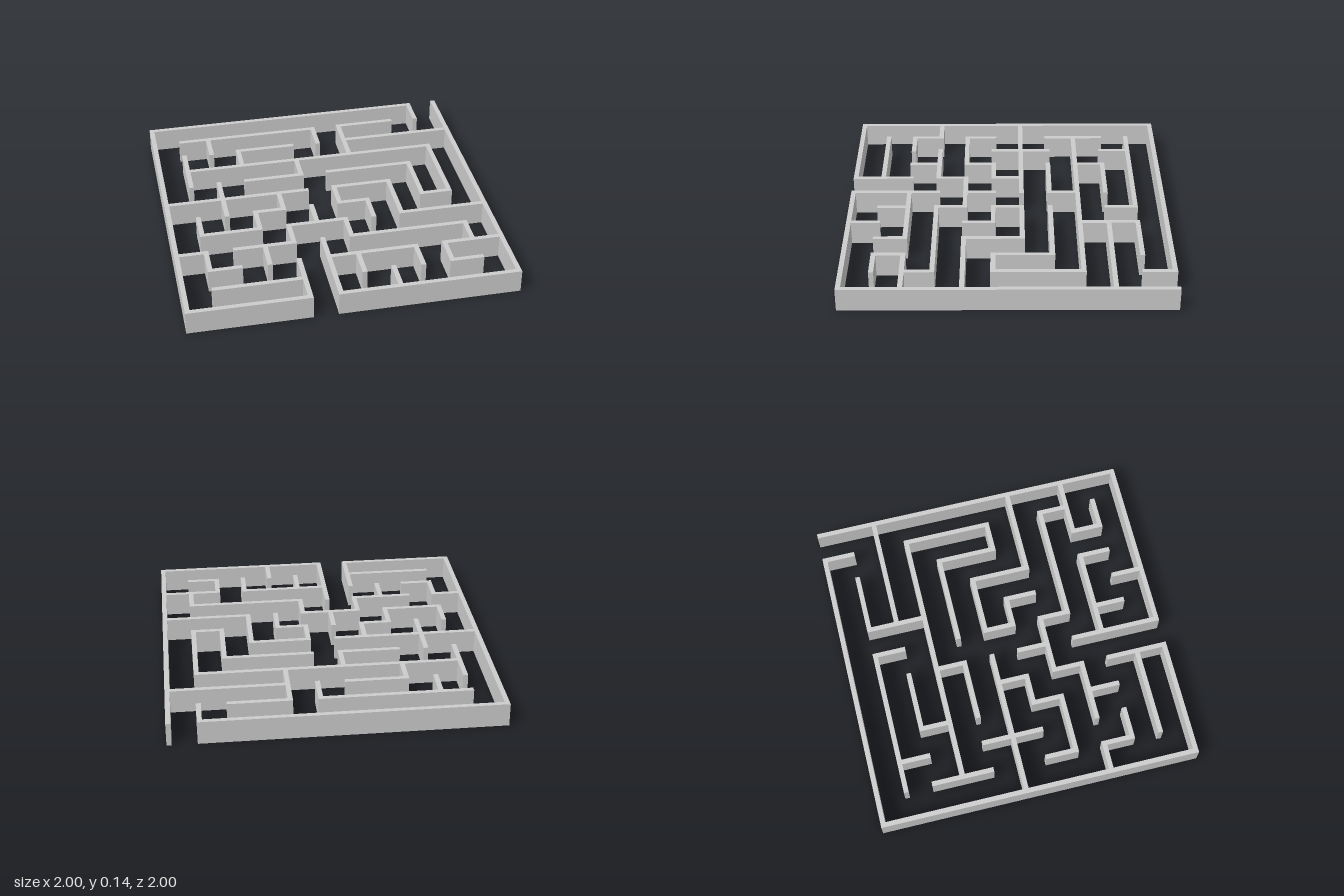
import * as THREE from 'three';

const CELLS = 11, THICK = 0.03, HEIGHT = 0.145;
const PITCH = (2 - THICK) / CELLS;
const at = (i) => (i - CELLS / 2) * PITCH;

// Walls running along x: for each grid line from back to front, [start, end] nodes
const ROWS = [
  [[0, 10]],
  [[1, 6], [7, 9]],
  [[3, 5], [7, 11]],
  [[1, 10]],
  [[3, 5], [6, 9]],
  [[0, 5], [6, 8]],
  [[3, 4], [6, 7], [9, 10]],
  [[1, 3], [4, 6], [8, 11]],
  [[0, 1], [2, 4], [6, 10]],
  [[1, 2], [5, 8], [9, 11]],
  [[1, 4], [9, 10]],
  [[0, 4], [5, 11]],
];

// Walls running along z: for each grid line from -x to +x, [start, end] nodes
const COLUMNS = [
  [[0, 11]],
  [[2, 4], [6, 7], [8, 9]],
  [[1, 2], [4, 6]],
  [[2, 3], [6, 7], [8, 9]],
  [[5, 6], [7, 8], [9, 11]],
  [[3, 4], [6, 7], [8, 11]],
  [[1, 2], [5, 6], [7, 8], [9, 10]],
  [[1, 3], [6, 7], [10, 11]],
  [[5, 7], [9, 10]],
  [[4, 6], [9, 10]],
  [[0, 1], [3, 6], [8, 9]],
  [[0, 11]],
];

const inRow = (row, col) => ROWS[row].some(([a, b]) => col >= a && col <= b);

export function createModel() {
  const model = new THREE.Group();
  model.name = 'maze';
  const material = new THREE.MeshStandardMaterial({ color: 0xcccccc, flatShading: true });

  const addWall = (name, x0, x1, z0, z1) => {
    const wall = new THREE.Mesh(new THREE.BoxGeometry(x1 - x0, HEIGHT, z1 - z0), material);
    wall.position.set((x0 + x1) / 2, HEIGHT / 2, (z0 + z1) / 2);
    wall.name = name;
    model.add(wall);
  };
  const kind = (line) => (line === 0 || line === CELLS ? 'outerWall' : 'innerWall');
  const h = THICK / 2;

  // Crosswise walls keep their full length, including the corners
  ROWS.forEach((spans, row) => spans.forEach(([a, b]) =>
    addWall(kind(row), at(a) - h, at(b) + h, at(row) - h, at(row) + h)));

  // Lengthwise walls butt against every crosswise wall they meet
  COLUMNS.forEach((spans, col) => spans.forEach(([a, b]) => {
    let start = a;
    for (let node = a + 1; node <= b; node++) {
      if (node < b && !inRow(node, col)) continue;
      const z0 = at(start) + (inRow(start, col) ? h : -h);
      const z1 = at(node) + (inRow(node, col) ? -h : h);
      addWall(kind(col), at(col) - h, at(col) + h, z0, z1);
      start = node;
    }
  }));

  return model;
}
